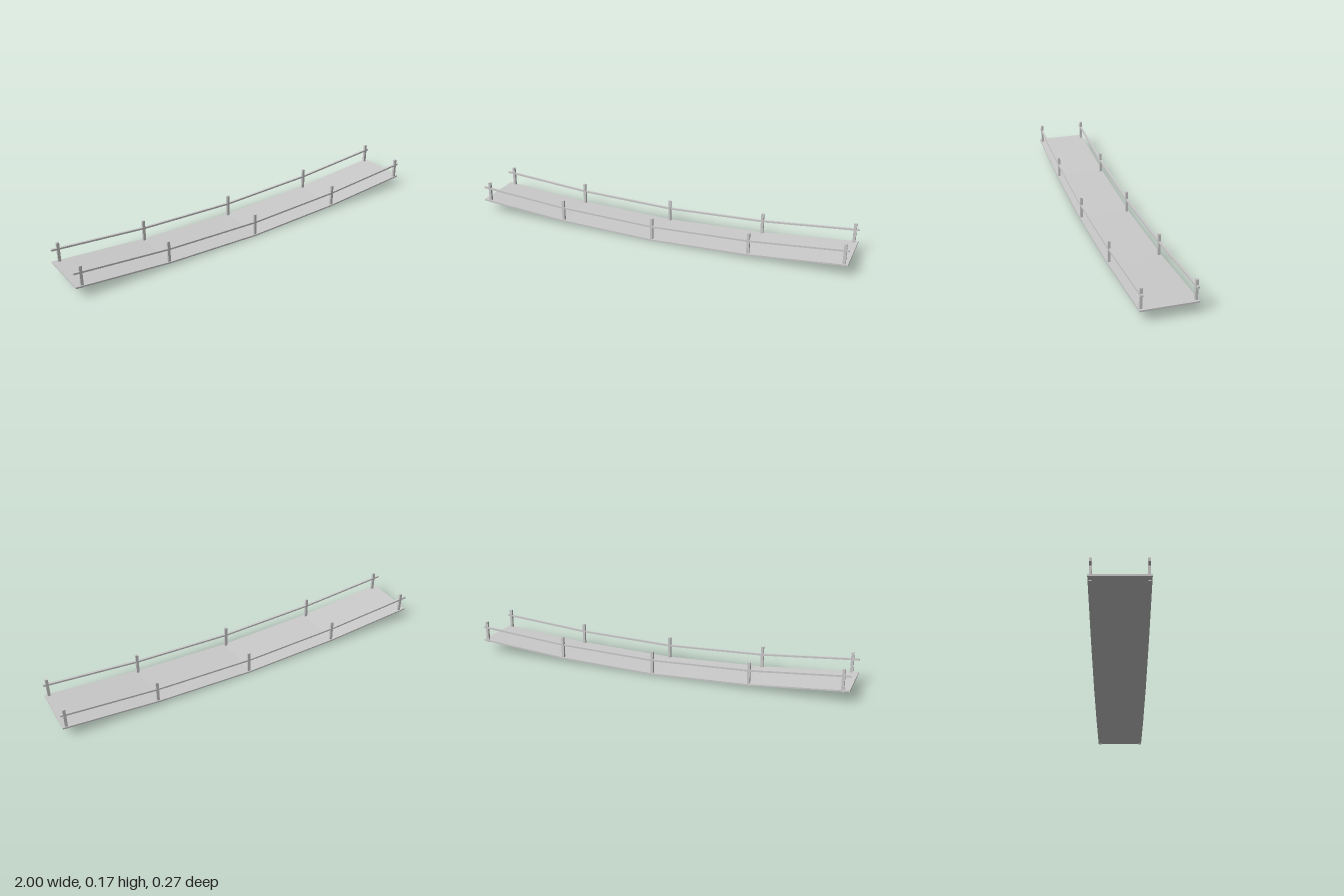
import * as THREE from 'three';

const grey = new THREE.MeshStandardMaterial({ color: 0xcccccc, flatShading: true });

// Sagging strip: a polyline of lower edge points, thickened upwards and extruded along z
function strip(name, points, thickness, depth, z) {
  const upper = points.map(([x, y]) => [x, y + thickness]).reverse();
  const shape = new THREE.Shape([...points, ...upper].map(([x, y]) => new THREE.Vector2(x, y)));
  const geometry = new THREE.ExtrudeGeometry(shape, { depth, bevelEnabled: false });
  geometry.translate(0, 0, z - depth / 2);
  const mesh = new THREE.Mesh(geometry, grey);
  mesh.name = name;
  return mesh;
}

export function createModel() {
  const group = new THREE.Group();
  group.name = 'hangingBridge';

  // Sag of the bridge, relative to its lowest point
  const sag = [[-1, 0.058], [-0.51, 0.017], [0, 0], [0.51, 0.017], [1, 0.058]];
  group.add(strip('deck', sag, 0.008, 0.268, 0));

  // Railings on both sides
  const railPath = sag.map(([x, y]) => [x, y + 0.0715]);
  const posts = [[-0.965, 0.051], [-0.51, 0.021], [0, 0.007], [0.512, 0.021], [0.98, 0.051]];
  const postHeight = 0.114;
  for (const side of [1, -1]) {
    const railing = new THREE.Group();
    railing.name = side > 0 ? 'frontRailing' : 'backRailing';
    const z = side * 0.123;
    railing.add(strip('handrail', railPath, 0.009, 0.011, z));
    for (const [x, bottom] of posts) {
      const post = new THREE.Mesh(new THREE.BoxGeometry(0.014, postHeight, 0.012), grey);
      post.name = 'post';
      post.position.set(x, bottom + postHeight / 2, z);
      railing.add(post);
    }
    group.add(railing);
  }
  return group;
}
